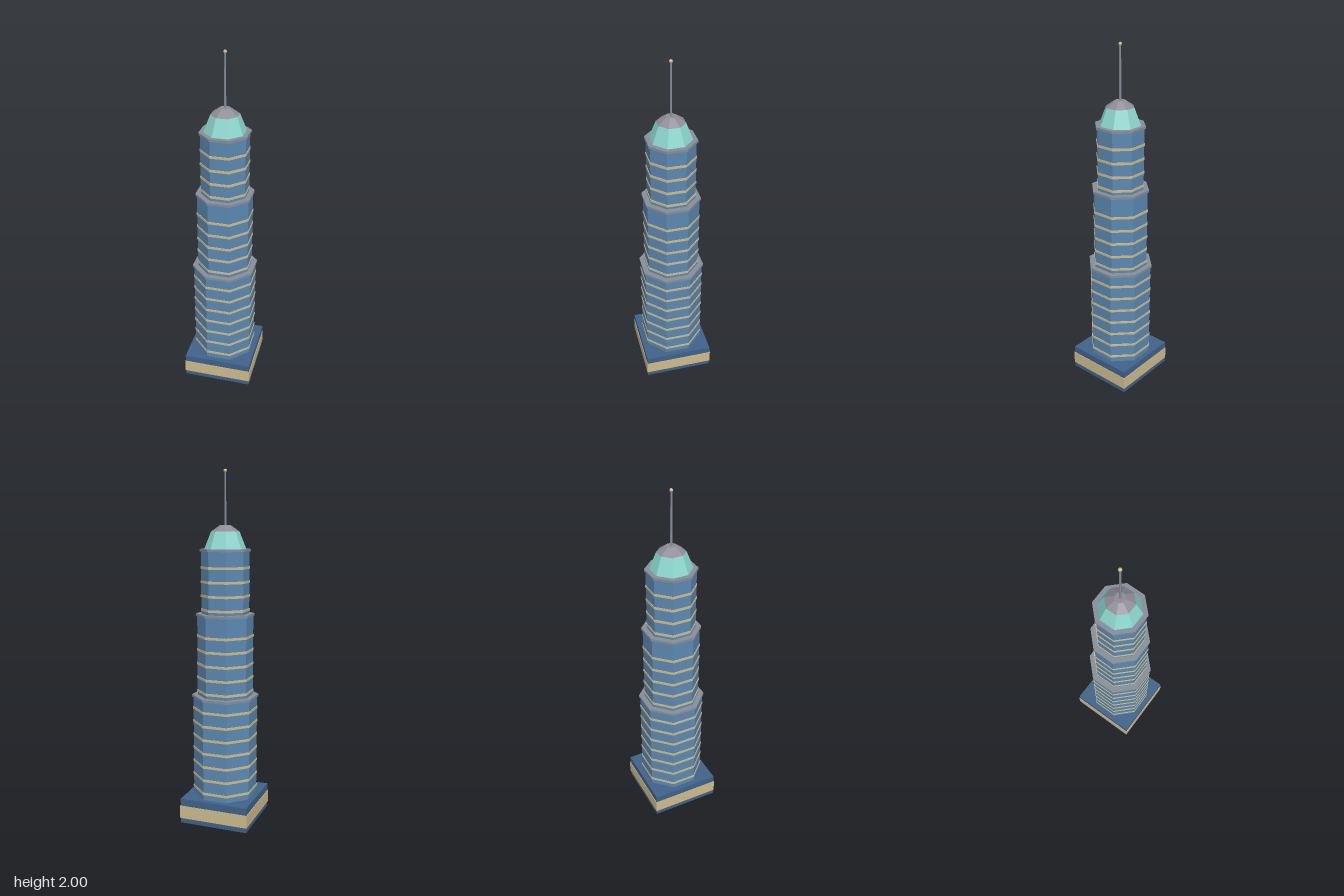
import * as THREE from 'three';

function material(name, color) {
  const m = new THREE.MeshStandardMaterial({ color, flatShading: true });
  m.name = name;
  return m;
}

export function createModel() {
  const glass = material('blue glass', 0x5b88b2);
  const navy = material('dark blue', 0x40628a);
  const cream = material('cream', 0xcdbb8c);
  const grey = material('ledge grey', 0x868e9b);
  const capGrey = material('cap grey', 0x8f8c97);
  const mint = material('mint', 0x8cd6ce);

  const tower = new THREE.Group();
  tower.name = 'tower';

  function add(name, geometry, mat, y, parent = tower) {
    const mesh = new THREE.Mesh(geometry, mat);
    mesh.name = name;
    mesh.position.y = y;
    parent.add(mesh);
  }

  // Octagonal block from y0 to y1, sized by the distance to its flat sides
  function octagon(name, bottom, top, y0, y1, mat, parent) {
    const k = 1 / Math.cos(Math.PI / 8);
    const g = new THREE.CylinderGeometry(top * k, bottom * k, y1 - y0, 8);
    g.rotateY(Math.PI / 8);
    add(name, g, mat, (y0 + y1) / 2, parent);
  }

  // Square base with a wide band
  add('base', new THREE.BoxGeometry(0.4, 0.145, 0.4), navy, 0.0725);
  add('baseBand', new THREE.BoxGeometry(0.406, 0.075, 0.406), cream, 0.066);

  // Three stepped tiers with floor bands and a ledge on top
  const tiers = [
    { name: 'lowerTier', r: 0.17, y0: 0.145, y1: 0.725, first: 0.183, bands: 7, step: 0.0797 },
    { name: 'middleTier', r: 0.147, y0: 0.725, y1: 1.195, first: 0.763, bands: 5, step: 0.0797 },
    { name: 'upperTier', r: 0.125, y0: 1.195, y1: 1.555, first: 1.231, bands: 4, step: 0.0785 },
  ];
  for (const t of tiers) {
    const tier = new THREE.Group();
    tier.name = t.name;
    tower.add(tier);
    octagon('shaft', t.r, t.r, t.y0, t.y1, glass, tier);
    octagon('ledge', t.r + 0.007, t.r + 0.007, t.y1, t.y1 + 0.014, grey, tier);
    for (let i = 0; i < t.bands; i++) {
      const y = t.first + i * t.step;
      octagon('floorBand', t.r + 0.003, t.r + 0.003, y - 0.007, y + 0.007, cream, tier);
    }
  }

  // Faceted crown
  octagon('dome', 0.108, 0.073, 1.569, 1.664, mint);
  octagon('domeCap', 0.073, 0.027, 1.664, 1.699, capGrey);

  // Mast with a ball on its tip
  add('mast', new THREE.CylinderGeometry(0.005, 0.006, 0.29, 8), grey, 1.844);
  add('mastTip', new THREE.SphereGeometry(0.01, 10, 8), cream, 1.99);

  return tower;
}
